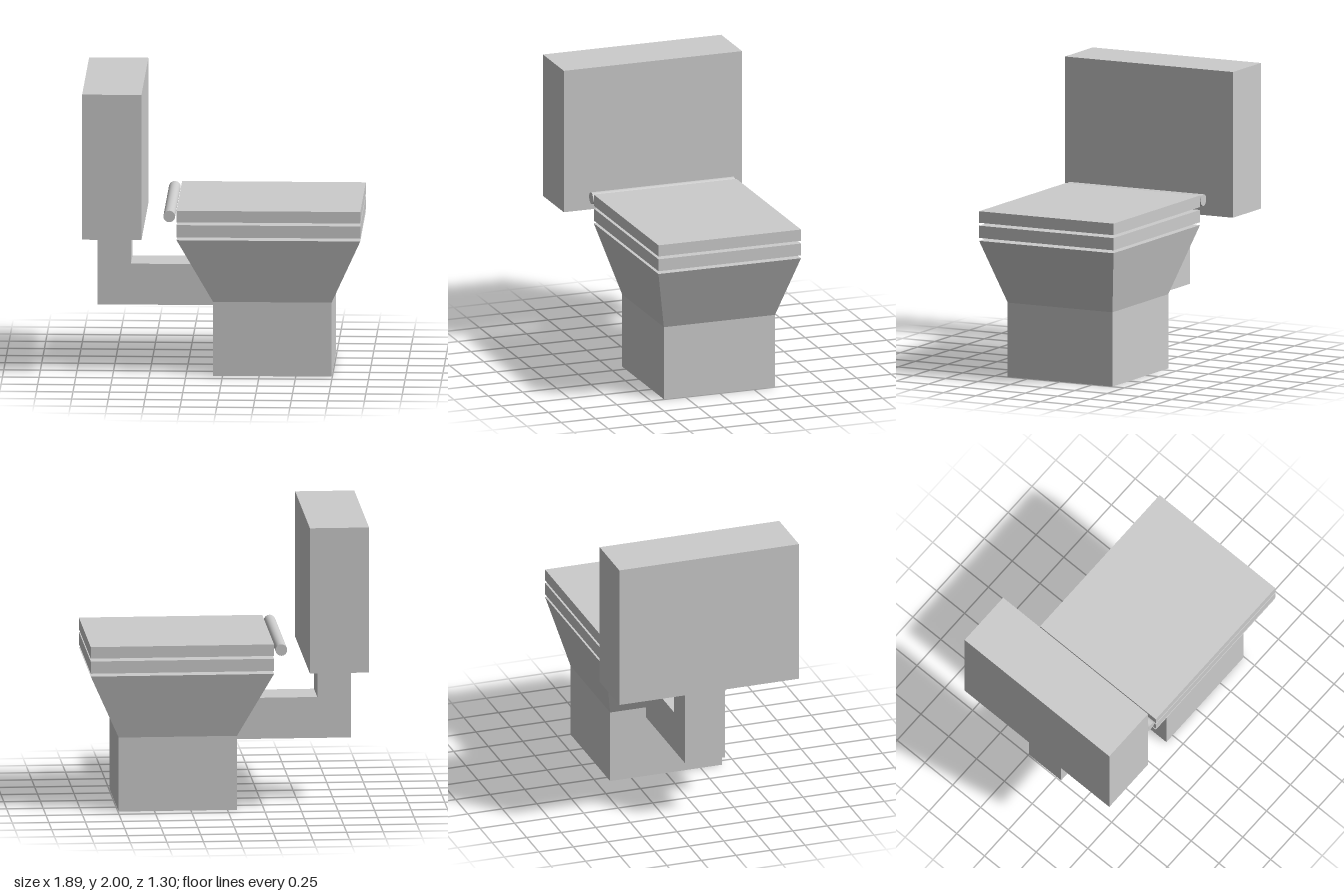
import * as THREE from 'three';

const grey = new THREE.MeshStandardMaterial({ color: 0xcccccc });

function addMesh(group, name, geometry) {
  const mesh = new THREE.Mesh(geometry, grey);
  mesh.name = name;
  group.add(mesh);
  return mesh;
}

// Box given by its x and y ranges and its full depth, centred on z = 0
function slab(x0, x1, y0, y1, depth) {
  return new THREE.BoxGeometry(x1 - x0, y1 - y0, depth)
    .translate((x0 + x1) / 2, (y0 + y1) / 2, 0);
}

// Slab whose bottom face is shrunk to the range b0..b1 and depth bottomDepth
function taperedSlab(x0, x1, y0, y1, depth, b0, b1, bottomDepth) {
  const geometry = slab(x0, x1, y0, y1, depth);
  const p = geometry.attributes.position;
  const middle = (y0 + y1) / 2;
  for (let i = 0; i < p.count; i++) {
    if (p.getY(i) > middle) continue;
    p.setX(i, p.getX(i) < (x0 + x1) / 2 ? b0 : b1);
    p.setZ(i, Math.sign(p.getZ(i)) * bottomDepth / 2);
  }
  geometry.computeVertexNormals();
  return geometry;
}

export function createModel() {
  const toilet = new THREE.Group();
  toilet.name = 'toilet';

  // Foot and flared bowl
  addMesh(toilet, 'pedestal', slab(-0.065, 0.745, 0, 0.515, 0.81));
  addMesh(toilet, 'bowl', taperedSlab(-0.31, 0.945, 0.515, 0.965, 1.04, -0.065, 0.745, 0.81));

  // Seat and closed lid, with small gaps between
  addMesh(toilet, 'seat', slab(-0.31, 0.945, 0.985, 1.07, 1.04));
  addMesh(toilet, 'lid', slab(-0.31, 0.945, 1.09, 1.17, 1.04));

  // Hinge rod along the back of the lid
  const hinge = addMesh(toilet, 'hinge', new THREE.CylinderGeometry(0.04, 0.04, 1.04, 32));
  hinge.rotation.x = Math.PI / 2;
  hinge.position.set(-0.36, 1.13, 0);

  // Cistern
  addMesh(toilet, 'tank', slab(-0.95, -0.545, 0.99, 2, 1.3));

  // Square elbow pipe from the cistern down into the bowl
  const elbow = new THREE.Shape([
    [-0.865, 0.44], [-0.04, 0.44], [-0.04, 0.725], [-0.635, 0.725], [-0.635, 0.99], [-0.865, 0.99],
  ].map(([x, y]) => new THREE.Vector2(x, y)));
  addMesh(toilet, 'flushPipe',
    new THREE.ExtrudeGeometry(elbow, { depth: 0.29, bevelEnabled: false }).translate(0, 0, -0.145));

  return toilet;
}
